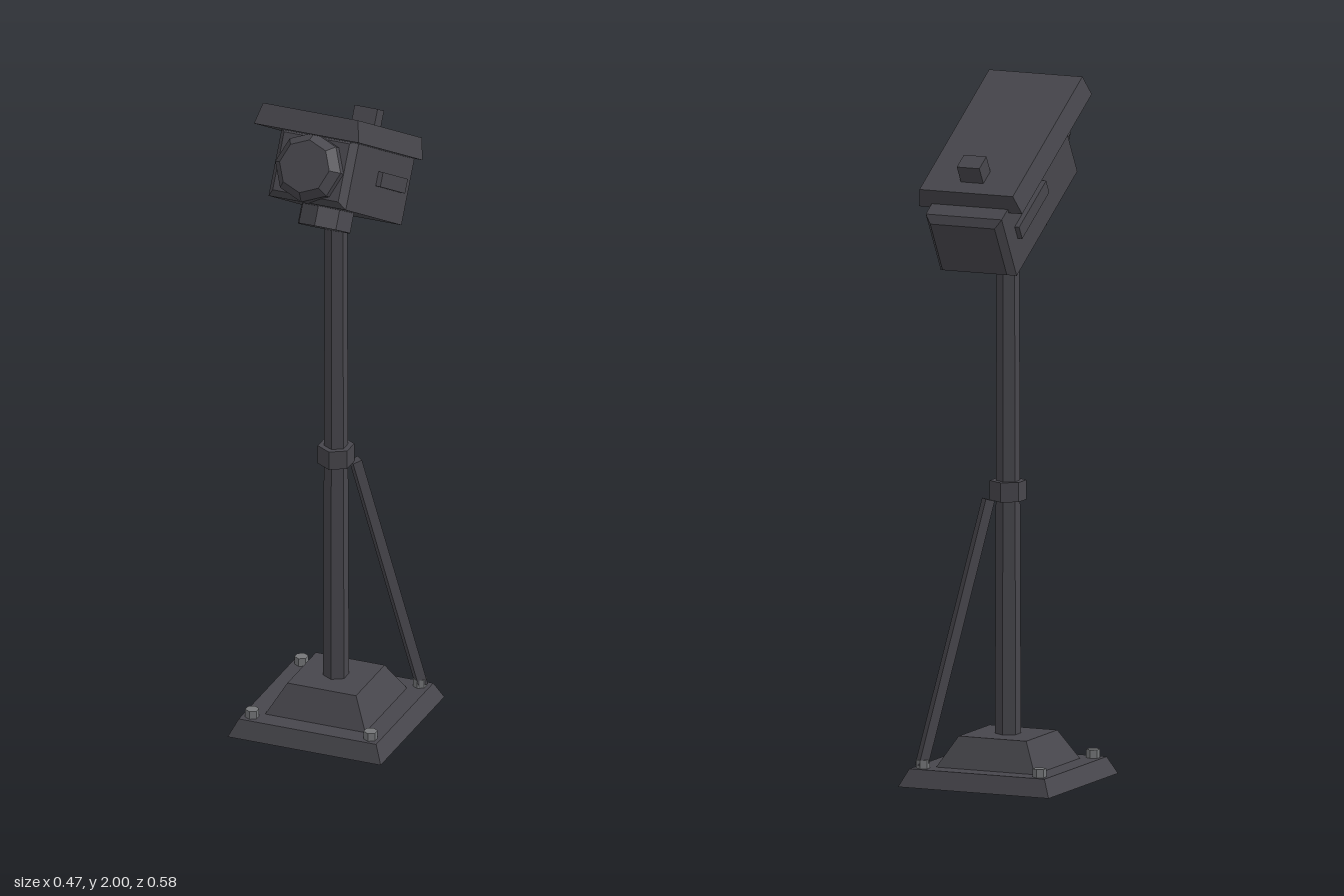
import * as THREE from 'three';

const charcoal = new THREE.MeshStandardMaterial({ color: 0x47464c });
charcoal.name = 'charcoal';
const boltGrey = new THREE.MeshStandardMaterial({ color: 0x757779 });
boltGrey.name = 'bolt grey';

// Faceted mesh helper
function part(parent, name, geometry, position = [0, 0, 0], material = charcoal) {
  const flat = geometry.index ? geometry.toNonIndexed() : geometry;
  flat.computeVertexNormals();
  const mesh = new THREE.Mesh(flat, material);
  mesh.name = name;
  mesh.position.set(...position);
  parent.add(mesh);
  return mesh;
}

// Box lofted through rectangular sections [z, halfWidth, bottom, top], ordered back to front
function loft(sections) {
  const points = [];
  const index = [];
  for (const [z, w, y0, y1] of sections) points.push(-w, y0, z, w, y0, z, w, y1, z, -w, y1, z);
  for (let s = 0; s < sections.length - 1; s++) {
    for (let i = 0; i < 4; i++) {
      const a = s * 4 + i, b = s * 4 + (i + 1) % 4;
      index.push(a, b, b + 4, a, b + 4, a + 4);
    }
  }
  const e = (sections.length - 1) * 4;
  index.push(0, 2, 1, 0, 3, 2, e, e + 1, e + 2, e, e + 2, e + 3);
  const g = new THREE.BufferGeometry();
  g.setAttribute('position', new THREE.Float32BufferAttribute(points, 3));
  g.setIndex(index);
  return g;
}

// Square frustum standing on y = 0, sized by half widths
function frustum(bottom, top, height) {
  return new THREE.CylinderGeometry(top * Math.SQRT2, bottom * Math.SQRT2, height, 4)
    .rotateY(Math.PI / 4).translate(0, height / 2, 0);
}

export function createModel() {
  const model = new THREE.Group();
  model.name = 'cameraOnPost';
  const cz = 0.02;

  // Stepped base with four hexagonal bolts
  part(model, 'basePlate', frustum(0.234, 0.21, 0.05), [0, 0, cz]);
  part(model, 'basePedestal', frustum(0.153, 0.105, 0.085), [0, 0.05, cz]);
  for (const sx of [-1, 1]) {
    for (const sz of [-1, 1]) {
      part(model, 'baseBolt', new THREE.CylinderGeometry(0.02, 0.02, 0.024, 6),
        [sx * 0.181, 0.062, cz + sz * 0.181], boltGrey);
    }
  }

  // Post and collar
  part(model, 'post', new THREE.CylinderGeometry(0.032, 0.037, 1.435, 6), [0, 0.8525, cz]);
  part(model, 'collar', new THREE.CylinderGeometry(0.052, 0.052, 0.056, 6), [0, 0.831, cz]);

  // Diagonal brace from the collar to a rear corner
  const top = new THREE.Vector3(0.047, 0.805, -0.01);
  const foot = new THREE.Vector3(0.185, 0.055, -0.163);
  const brace = part(model, 'brace', new THREE.BoxGeometry(0.028, 0.028, top.distanceTo(foot)));
  brace.position.copy(top).add(foot).multiplyScalar(0.5);
  brace.lookAt(top);

  // Head, tilted upward
  const head = new THREE.Group();
  head.name = 'cameraHead';
  head.position.y = 1.75;
  head.rotation.x = -Math.PI / 6;
  model.add(head);

  part(head, 'cameraBody', loft([
    [-0.308, 0.1, -0.125, 0.042],
    [-0.287, 0.118, -0.143, 0.06],
    [0.185, 0.118, -0.143, 0.06],
    [0.21, 0.1, -0.125, 0.042],
  ]));

  // Sloped-sided sun hood
  const hood = new THREE.Shape([[-0.16, 0.047], [0.16, 0.047], [0.145, 0.109], [-0.145, 0.109]]
    .map(([x, y]) => new THREE.Vector2(x, y)));
  part(head, 'sunHood', new THREE.ExtrudeGeometry(hood, { depth: 0.542, bevelEnabled: false }), [0, 0, -0.24]);
  part(head, 'topKnob', new THREE.BoxGeometry(0.07, 0.056, 0.055), [0, 0.135, -0.166]);

  // Raised panels on both sides
  for (const s of [-1, 1]) {
    part(head, 'sidePanel', new THREE.BoxGeometry(0.03, 0.042, 0.21), [s * 0.117, -0.034, -0.123]);
  }

  // Octagonal lens with a chamfered rim
  part(head, 'lensBarrel', new THREE.CylinderGeometry(0.1, 0.1, 0.05, 8).rotateX(Math.PI / 2), [0, -0.045, 0.21]);
  part(head, 'lensRim', new THREE.CylinderGeometry(0.076, 0.1, 0.03, 8).rotateX(Math.PI / 2), [0, -0.045, 0.25]);

  // Swivel mount under the body
  part(head, 'swivelMount', new THREE.CylinderGeometry(0.08, 0.08, 0.07, 8), [0, -0.165, 0.01]);

  return model;
}
